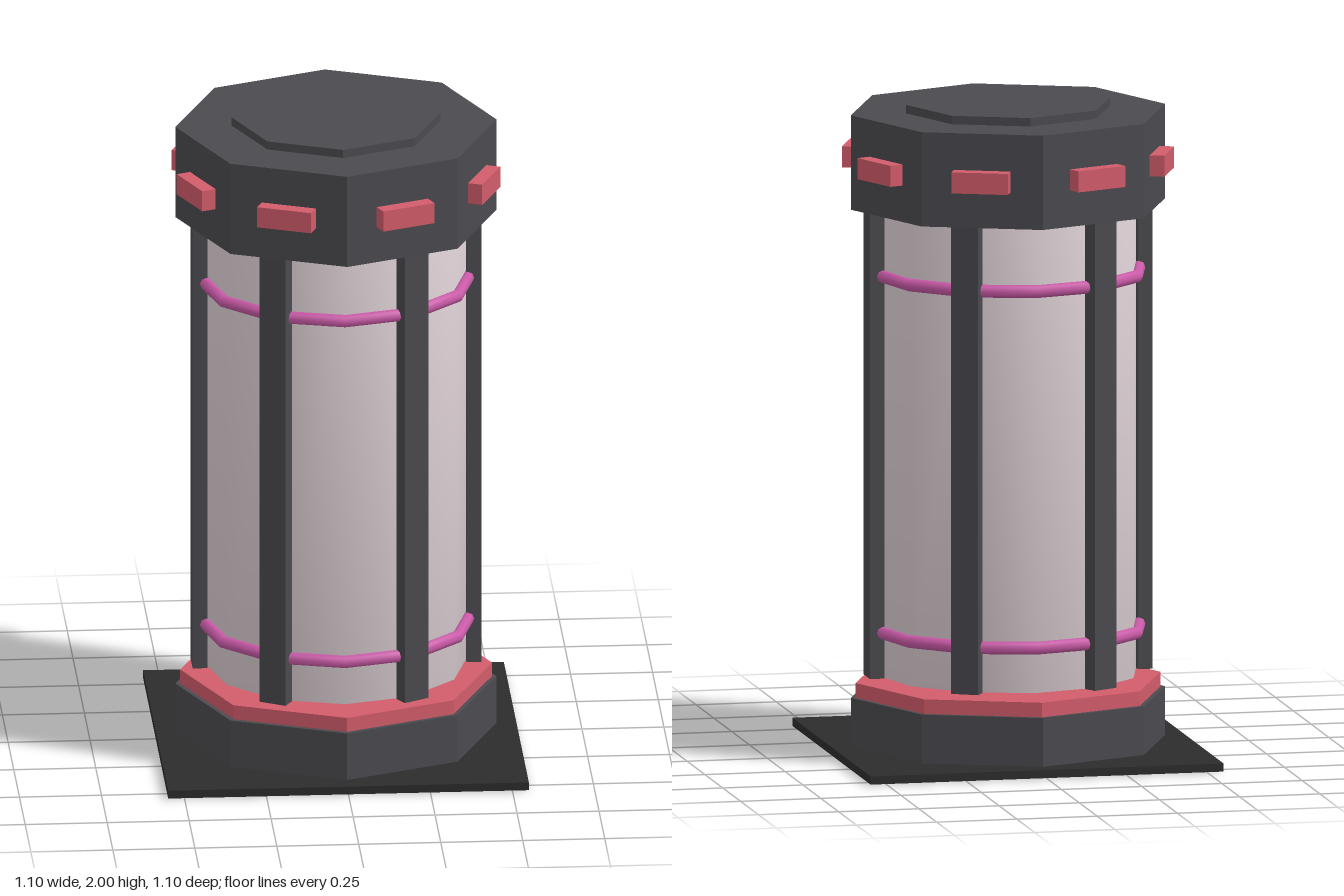
import * as THREE from 'three';
import { mergeVertices } from 'three/addons/utils/BufferGeometryUtils.js';

function makeMaterial(name, color) {
  const m = new THREE.MeshStandardMaterial({ color });
  m.name = name;
  return m;
}

export function createModel() {
  const model = new THREE.Group();
  model.name = 'containmentTube';

  const metal = makeMaterial('darkGreyMetal', 0x4a4a4f);
  const black = makeMaterial('blackPlate', 0x2c2c2c);
  const red = makeMaterial('redLight', 0xd25c6a);
  const magenta = makeMaterial('magentaRing', 0xca5aa8);
  const glass = makeMaterial('paleGlass', 0xdccfd3);

  function add(name, geometry, material, parent = model) {
    const mesh = new THREE.Mesh(geometry, material);
    mesh.name = name;
    parent.add(mesh);
    return mesh;
  }

  // Faceted octagonal slab between two heights, corners on the axes
  function octagon(name, radius, y0, y1, material) {
    const g = new THREE.CylinderGeometry(radius, radius, y1 - y0, 8).toNonIndexed();
    g.computeVertexNormals();
    g.translate(0, (y0 + y1) / 2, 0);
    return add(name, g, material);
  }

  // Box set at a given angle and distance around the upright axis
  function around(name, size, radius, y, angle, material) {
    const g = new THREE.BoxGeometry(...size);
    g.translate(0, 0, radius);
    const mesh = add(name, g, material);
    mesh.position.y = y;
    mesh.rotation.y = angle;
  }

  // Foot and base
  add('floorPlate', new THREE.BoxGeometry(1.1, 0.025, 1.1), black).position.y = 0.0145;
  octagon('base', 0.49, 0, 0.177, metal);
  octagon('baseTrim', 0.475, 0.17, 0.222, red);

  // Smooth-shaded tube whose normals also blend over the rims
  let tube = new THREE.CylinderGeometry(0.4, 0.4, 1.445, 12);
  tube.deleteAttribute('normal');
  tube.deleteAttribute('uv');
  tube = mergeVertices(tube);
  tube.computeVertexNormals();
  add('glassTube', tube, glass).position.y = 0.9625;

  // Rings around the tube
  for (const y of [0.38, 1.48]) {
    const ring = new THREE.TorusGeometry(0.41, 0.02, 8, 12);
    ring.rotateX(Math.PI / 2);
    add('tubeRing', ring, magenta).position.y = y;
  }

  // Six upright struts
  for (let i = 0; i < 6; i++) {
    around('strut', [0.087, 1.445, 0.045], 0.4175, 0.9625, Math.PI / 2 + i * Math.PI / 3, metal);
  }

  // Cap, lid and the light on each cap face
  octagon('cap', 0.49, 1.683, 1.974, metal);
  octagon('lid', 0.318, 1.96, 2, metal);
  for (let i = 0; i < 8; i++) {
    around('capLight', [0.174, 0.065, 0.058], 0.469, 1.828, (i + 0.5) * Math.PI / 4, red);
  }

  return model;
}
